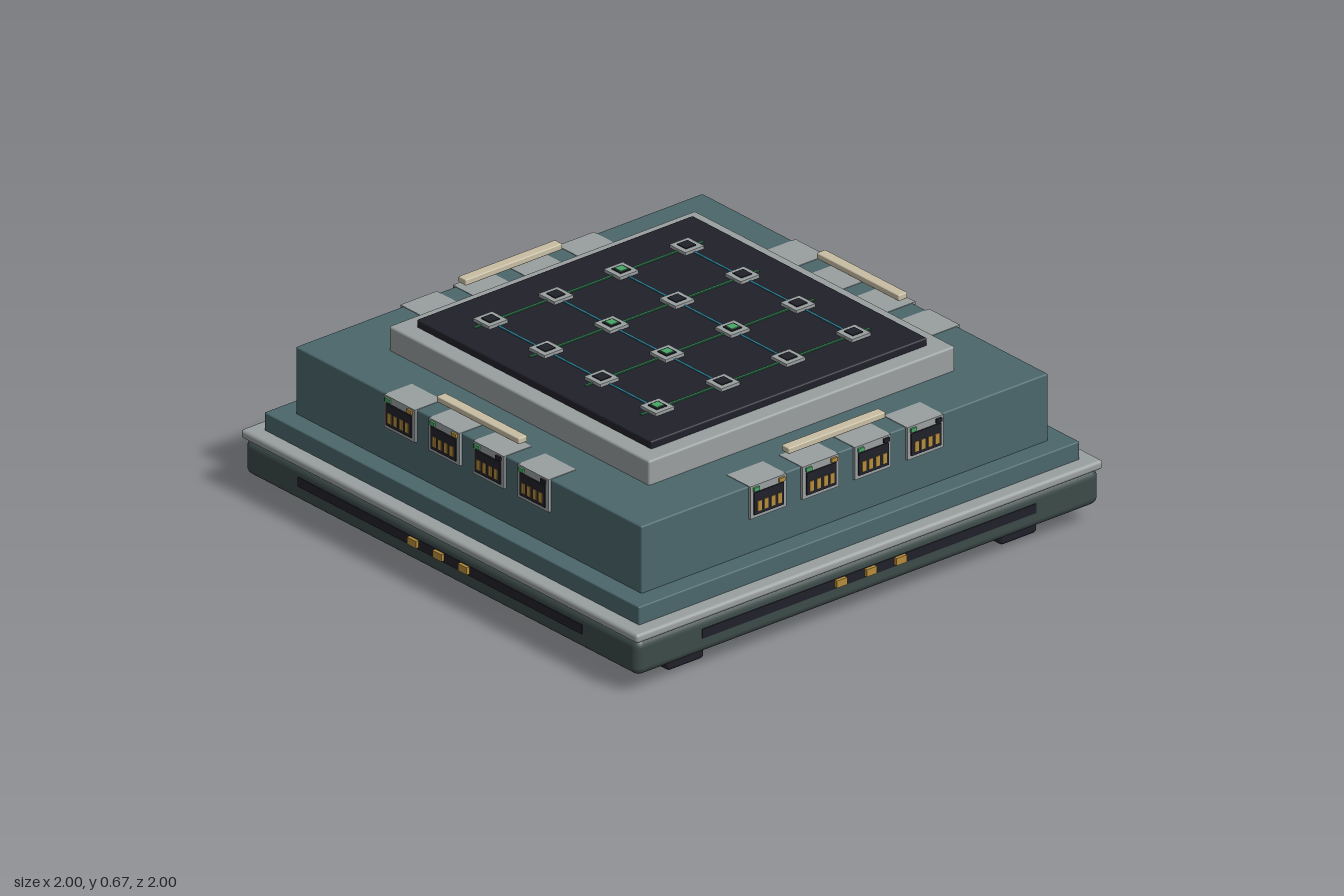
import * as THREE from 'three';
import { RoundedBoxGeometry } from 'three/addons/geometries/RoundedBoxGeometry.js';

const mat = (name, color) => {
  const m = new THREE.MeshStandardMaterial({ color });
  m.name = name;
  return m;
};

export function createModel() {
  const M = {
    teal: mat('teal housing', 0x4a666b),
    base: mat('dark grey-green base', 0x3c4a48),
    silver: mat('silver trim', 0x999e9f),
    dark: mat('near black', 0x20202a),
    gold: mat('gold contact', 0xb58c3c),
    beige: mat('beige handle', 0xc8bea4),
    green: mat('green light', 0x48a565),
    trace: mat('green trace', 0x2f7a4c),
    blue: mat('blue trace', 0x2c7c92),
  };
  const model = new THREE.Group();
  model.name = 'squareProcessorHub';

  // Box by size and centre; a radius rounds its edges
  const box = (parent, name, m, [w, h, d], [x, y, z], r = 0) => {
    const g = r ? new RoundedBoxGeometry(w, h, d, 3, r) : new THREE.BoxGeometry(w, h, d);
    const mesh = new THREE.Mesh(g, m);
    mesh.name = name;
    mesh.position.set(x, y, z);
    parent.add(mesh);
    return mesh;
  };
  // Square layer between two heights
  const slab = (name, m, half, y0, y1, r) =>
    box(model, name, m, [half * 2, y1 - y0, half * 2], [0, (y0 + y1) / 2, 0], r);

  // Stacked body
  slab('base', M.base, 0.985, 0.07, 0.2, 0.03);
  slab('trimRail', M.silver, 0.992, 0.197, 0.23, 0.012);
  slab('lowerStep', M.teal, 0.937, 0.22, 0.294, 0.005);
  slab('housing', M.teal, 0.865, 0.28, 0.535, 0.006);
  slab('topFrame', M.silver, 0.651, 0.525, 0.622, 0.008);
  slab('topPanel', M.dark, 0.587, 0.61, 0.649, 0.006);

  // Long runner feet
  for (const s of [-1, 1])
    box(model, 'runnerFoot', M.dark, [0.157, 0.09, 1.81], [s * 0.708, 0.045, 0], 0.014);

  // Network socket: silver block, dark opening, contacts and status lights
  const socket = (parent, x, i) => {
    const g = new THREE.Group();
    g.name = 'socket';
    g.position.x = x;
    parent.add(g);
    box(g, 'socketShell', M.silver, [0.154, 0.118, 0.118], [0, 0.478, 0.816]);
    box(g, 'socketOpening', M.dark, [0.126, 0.08, 0.006], [0, 0.472, 0.877]);
    for (let k = 0; k < 4; k++)
      box(g, 'socketContact', M.gold, [0.017, 0.036, 0.004], [(k - 1.5) * 0.029, 0.462, 0.881]);
    box(g, 'linkLight', M.green, [0.024, 0.014, 0.008], [-0.054, 0.524, 0.878]);
    box(g, 'activityLight', i < 2 ? M.gold : M.dark, [0.024, 0.014, 0.008], [0.054, 0.524, 0.878]);
  };

  // The same fittings on all four sides
  for (let q = 0; q < 4; q++) {
    const side = new THREE.Group();
    side.name = 'sideFittings';
    side.rotation.y = q * Math.PI / 2;
    model.add(side);
    [-0.334, -0.111, 0.111, 0.334].forEach((x, i) => socket(side, x, i));
    box(side, 'handleBar', M.beige, [0.412, 0.022, 0.038], [0, 0.582, 0.808], 0.004);
    box(side, 'baseSlot', M.dark, [1.42, 0.034, 0.008], [0, 0.144, 0.984]);
    for (const x of [-0.127, 0, 0.127])
      box(side, 'basePin', M.gold, [0.044, 0.026, 0.02], [x, 0.147, 0.99]);
  }

  // Grid of traces and nodes on the panel
  const P = [-0.417, -0.139, 0.139, 0.417];
  const lit = ['2,0', '1,1', '1,2', '2,2', '0,3'];
  P.forEach((p, i) => {
    box(model, 'crossTrace', M.trace, [0.974, 0.004, 0.009], [0, 0.6505, p]);
    box(model, 'lengthTrace', M.blue, [0.009, 0.003, 0.834], [p, 0.65, 0]);
    P.forEach((z, j) => {
      const node = new THREE.Group();
      node.name = 'node';
      node.position.set(p, 0, z);
      model.add(node);
      box(node, 'nodePlate', M.silver, [0.08, 0.012, 0.08], [0, 0.654, 0]);
      box(node, 'nodeCore', M.dark, [0.044, 0.005, 0.044], [0, 0.661, 0]);
      if (lit.includes(`${i},${j}`))
        box(node, 'nodeLight', M.green, [0.032, 0.004, 0.032], [0, 0.6645, 0]);
    });
  });
  return model;
}
